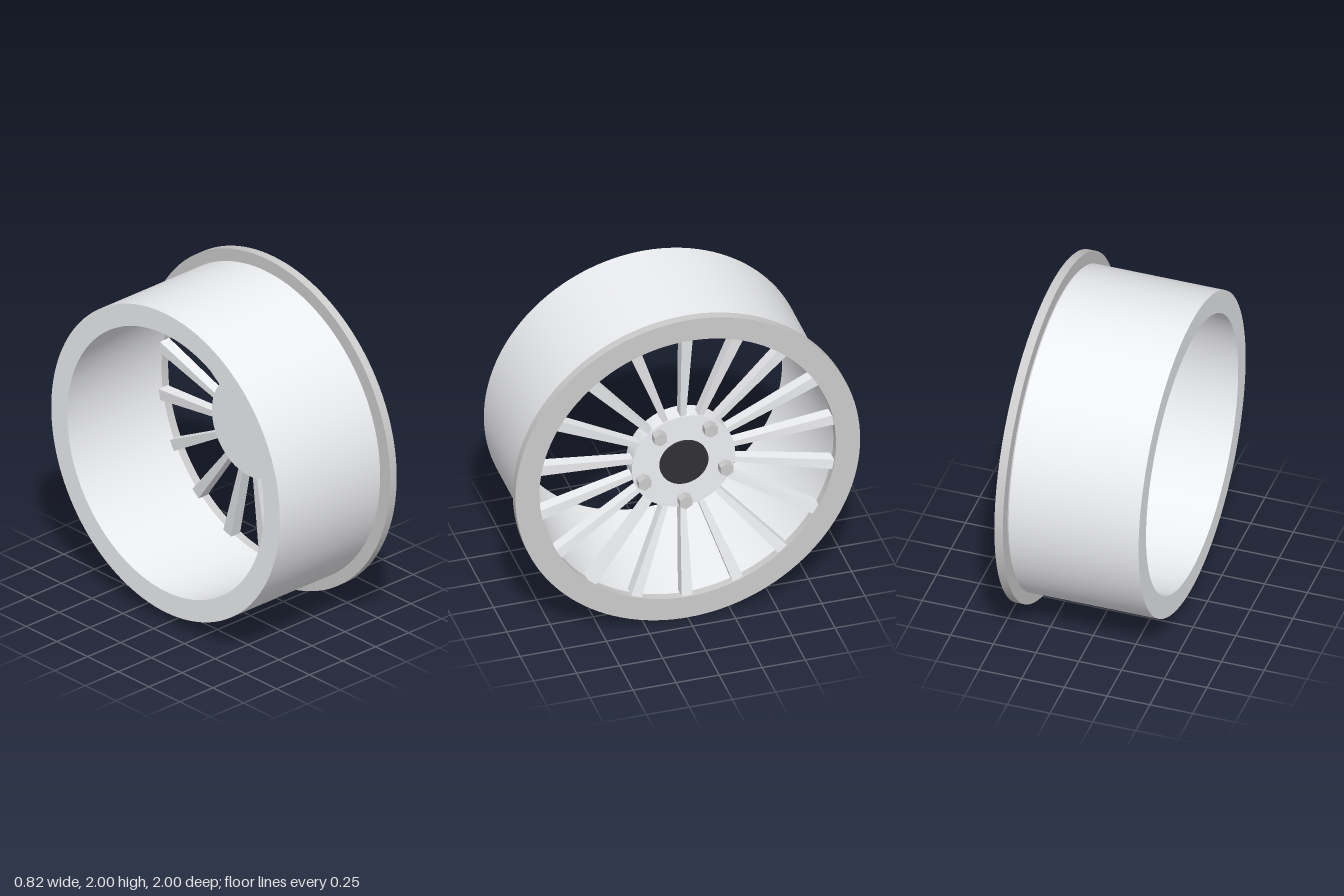
import * as THREE from 'three';
import { toCreasedNormals } from 'three/addons/utils/BufferGeometryUtils.js';

const paint = (color) => new THREE.MeshStandardMaterial({ color });

export function createModel() {
  const wheel = new THREE.Group();
  wheel.name = 'wheelRim';
  const bright = paint(0xeeeff2);
  const grey = paint(0xcccccc);
  const dark = paint(0x303034);

  // The wheel's axle runs along x at height 1
  const axle = new THREE.Group();
  axle.name = 'axle';
  axle.position.y = 1;
  wheel.add(axle);

  const add = (name, geometry, material, parent = axle) => {
    const mesh = new THREE.Mesh(geometry, material);
    mesh.name = name;
    parent.add(mesh);
    return mesh;
  };

  // Closed ring turned about the x axis, from [radius, x] points
  const ring = (profile) => {
    const points = [...profile, profile[0]].map(([r, x]) => new THREE.Vector2(r, x));
    const geometry = new THREE.LatheGeometry(points, 128).rotateZ(-Math.PI / 2);
    return toCreasedNormals(geometry, 0.5);
  };

  // Solid disc or prism along x between two positions
  const disc = (radius, x0, x1, sides, turn = 0) => {
    const geometry = new THREE.CylinderGeometry(radius, radius, x1 - x0, sides)
      .rotateY(turn).rotateZ(-Math.PI / 2).translate((x0 + x1) / 2, 0, 0);
    return toCreasedNormals(geometry, 0.5);
  };

  // Barrel with a bevelled front edge and a bore that widens towards the lip
  add('barrel', ring([
    [0.80, -0.41], [0.93, -0.41], [0.93, 0.35], [0.92, 0.36], [0.86, 0.36],
  ]), bright);

  // Front lip
  add('frontLip', ring([[0.86, 0.36], [1, 0.36], [1, 0.41], [0.86, 0.41]]), grey);

  // Hub and centre cap
  add('hub', disc(0.3, 0.22, 0.33, 64), bright);
  add('centreCap', disc(0.14, 0.32, 0.347, 64), dark);

  // Spokes: boxes that widen, thicken and lean forward towards the lip
  const spokeGeometry = new THREE.BoxGeometry(1, 1, 1);
  const corners = spokeGeometry.attributes.position;
  for (let i = 0; i < corners.count; i++) {
    const outer = corners.getY(i) > 0;
    const front = corners.getX(i) > 0;
    const x = outer ? (front ? 0.4 : 0.33) : (front ? 0.32 : 0.26);
    corners.setXYZ(i, x, outer ? 0.865 : 0.27, corners.getZ(i) * (outer ? 0.065 : 0.032));
  }
  spokeGeometry.computeVertexNormals();
  const spokes = new THREE.Group();
  spokes.name = 'spokes';
  axle.add(spokes);
  for (let i = 0; i < 18; i++) {
    add('spoke', spokeGeometry, bright, spokes).rotation.x = (i * Math.PI * 2) / 18;
  }

  // Five hexagonal wheel bolts, one straight below the cap
  const boltGeometry = disc(0.042, 0.32, 0.38, 6, Math.PI / 6);
  const bolts = new THREE.Group();
  bolts.name = 'bolts';
  axle.add(bolts);
  for (let i = 0; i < 5; i++) {
    const a = (i * Math.PI * 2) / 5;
    add('bolt', boltGeometry, grey, bolts)
      .position.set(0, -0.25 * Math.cos(a), 0.25 * Math.sin(a));
  }

  return wheel;
}
